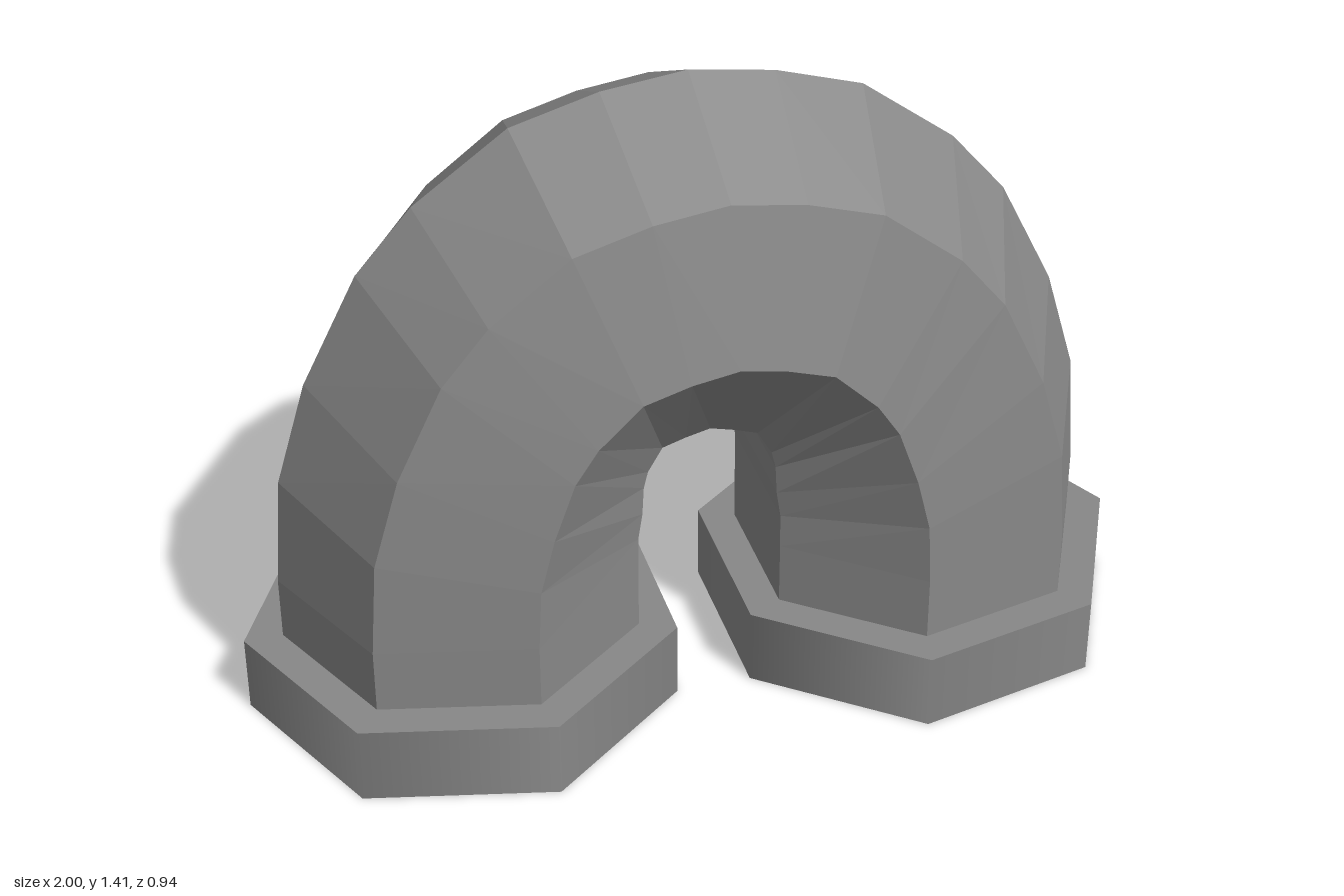
import * as THREE from 'three';
import { mergeGeometries } from 'three/addons/utils/BufferGeometryUtils.js';

const SIDES = 7;
const PIPE_X = 0.518, PIPE_R = 0.397, BORE_R = 0.325;
const COLLAR_R = 0.482, COLLAR_H = 0.175;
const COLOR = 0x888888;

// Half of the bend: centre x, centre y, tilt of the cross-section in degrees
const HALF = [
  [PIPE_X, 0.17, 0], [PIPE_X, 0.32, 0], [0.508, 0.481, 13], [0.47, 0.623, 26.5],
  [0.41, 0.772, 42.5], [0.347, 0.859, 54], [0.233, 0.959, 69], [0.116, 0.994, 80],
];

// One seven-sided cross-section, with a corner on the outside of the bend
function ring([cx, cy, tilt], radius) {
  const t = THREE.MathUtils.degToRad(tilt);
  return Array.from({ length: SIDES }, (_, j) => {
    const a = (j / SIDES) * Math.PI * 2;
    const out = radius * Math.cos(a);
    return [cx + out * Math.cos(t), cy + out * Math.sin(t), radius * Math.sin(a)];
  });
}

// Joins successive rings with quads
function skin(rings) {
  const index = [];
  for (let i = 0; i < rings.length - 1; i++) {
    for (let j = 0; j < SIDES; j++) {
      const k = (j + 1) % SIDES;
      const a = i * SIDES + j, b = i * SIDES + k;
      const c = a + SIDES, d = b + SIDES;
      index.push(a, c, b, b, c, d);
    }
  }
  const geometry = new THREE.BufferGeometry();
  geometry.setAttribute('position', new THREE.Float32BufferAttribute(rings.flat(2), 3));
  geometry.setIndex(index);
  geometry.computeVertexNormals();
  return geometry;
}

export function createModel() {
  const group = new THREE.Group();
  group.name = 'bentPipe';

  // Hollow pipe: outside along the bend, back through the bore, closed at the rims
  const mirrored = HALF.map(([x, y, t]) => [-x, y, 180 - t]).reverse();
  const path = [...HALF, [0, 1.013, 90], ...mirrored];
  const outside = path.map((p) => ring(p, PIPE_R));
  const bore = path.map((p) => ring(p, BORE_R)).reverse();
  const pipe = new THREE.Mesh(
    skin([...outside, ...bore, outside[0]]),
    new THREE.MeshStandardMaterial({ color: COLOR, flatShading: true })
  );
  pipe.name = 'pipe';
  group.add(pipe);

  // Ring collars at both feet: each face of the profile is its own smooth band
  const profile = [
    [COLLAR_R, 0], [COLLAR_R, COLLAR_H], [PIPE_R, COLLAR_H], [PIPE_R, 0], [COLLAR_R, 0],
  ].map(([r, y]) => new THREE.Vector2(r, y));
  const bands = profile.slice(1).map(
    (point, i) => new THREE.LatheGeometry([profile[i], point], SIDES, Math.PI / 2)
  );
  const collarGeometry = mergeGeometries(bands);
  const collarMaterial = new THREE.MeshStandardMaterial({ color: COLOR });
  for (const side of [1, -1]) {
    const collar = new THREE.Mesh(collarGeometry, collarMaterial);
    collar.name = side > 0 ? 'leftCollar' : 'rightCollar';
    collar.position.x = side * PIPE_X;
    if (side < 0) collar.rotation.y = Math.PI;
    group.add(collar);
  }
  return group;
}
